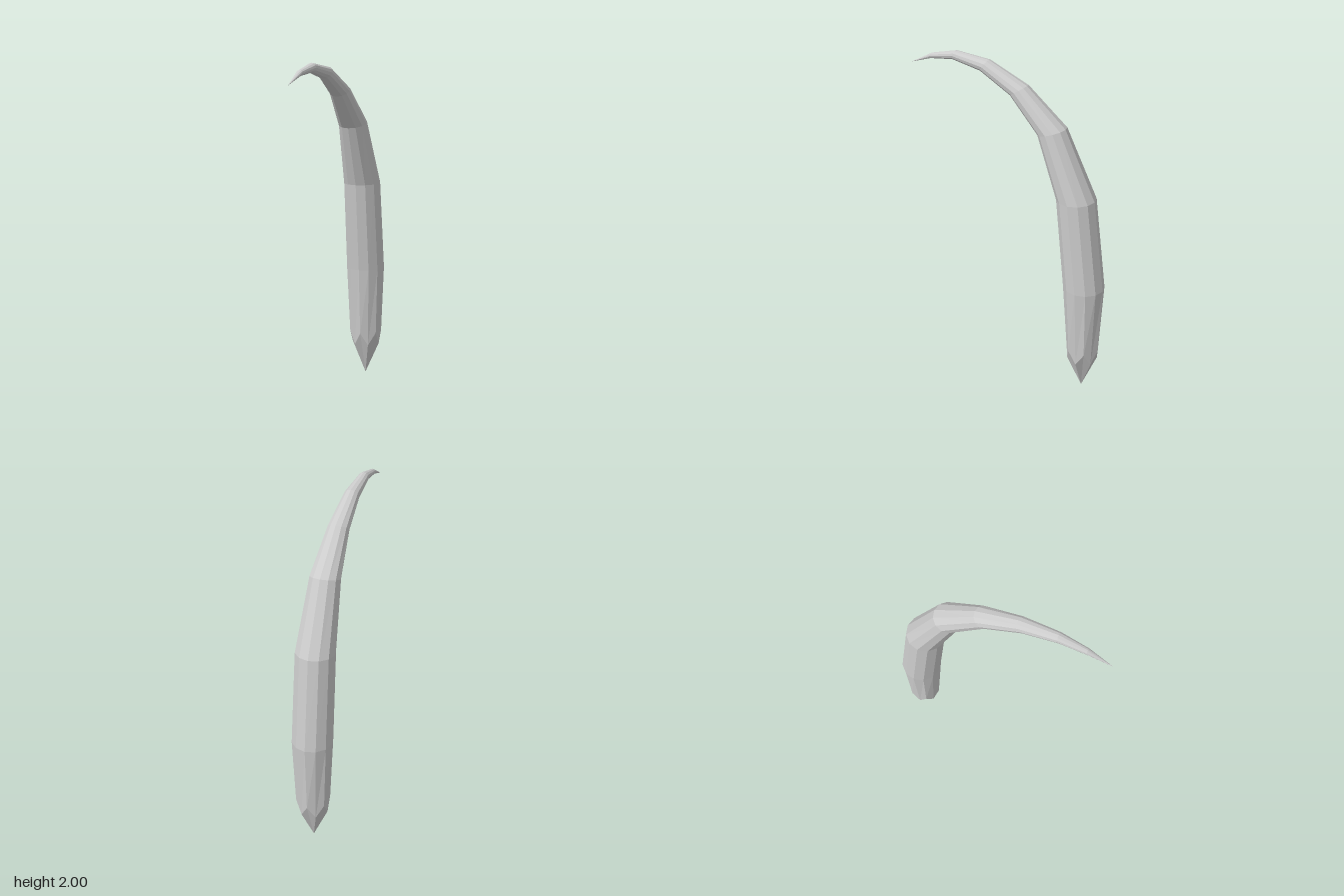
import * as THREE from 'three';

const SIDES = 12;

// Joins successive rings of points with outward-facing quads.
function loft(rings) {
  const positions = [];
  const tri = (a, b, c) => {
    for (const p of [a, b, c]) positions.push(p.x, p.y, p.z);
  };
  for (let i = 0; i < rings.length - 1; i++) {
    for (let j = 0; j < SIDES; j++) {
      const k = (j + 1) % SIDES;
      const [a, b, c, d] = [rings[i][j], rings[i][k], rings[i + 1][k], rings[i + 1][j]];
      if (!a.equals(b)) tri(a, b, c);
      if (!c.equals(d)) tri(a, c, d);
    }
  }
  const geometry = new THREE.BufferGeometry();
  geometry.setAttribute('position', new THREE.Float32BufferAttribute(positions, 3));
  geometry.computeVertexNormals();
  return geometry;
}

function makeRing(pointAt) {
  return Array.from({ length: SIDES }, (_, j) => pointAt((j / SIDES) * Math.PI * 2, j));
}

export function createModel() {
  const group = new THREE.Group();
  group.name = 'curvedClaw';
  const material = new THREE.MeshStandardMaterial({ color: 0xcccccc, flatShading: true });

  // Root: a faceted point whose upper rim zigzags
  const root = makeRing(() => new THREE.Vector3(0, 0, -0.53));
  const rim = makeRing((a, j) => {
    const r = j % 2 ? 0.102 : 0.09;
    return new THREE.Vector3(r * Math.cos(a), j % 2 ? 0.28 : 0.2, -0.53 - r * Math.sin(a));
  });

  // Curved body: [inner z, inner y, outer z, outer y, half width]
  const sections = [
    [-0.4, 0.7, -0.645, 0.7, 0.12],
    [-0.34, 1.25, -0.57, 1.26, 0.115],
    [-0.21, 1.61, -0.375, 1.66, 0.088],
    [-0.03, 1.805, -0.13, 1.87, 0.062],
    [0.165, 1.91, 0.115, 1.98, 0.044],
    [0.35, 1.945, 0.335, 2.0, 0.03],
    [0.507, 1.925, 0.497, 1.96, 0.018],
  ];
  const body = sections.map(([zi, yi, zo, yo, w]) => makeRing((a) => {
    const t = (1 + Math.sin(a)) / 2;
    return new THREE.Vector3(w * Math.cos(a), yi + (yo - yi) * t, zi + (zo - zi) * t);
  }));
  const tip = makeRing(() => new THREE.Vector3(0, 1.88, 0.645));

  const addPart = (name, rings) => {
    const mesh = new THREE.Mesh(loft(rings), material);
    mesh.name = name;
    group.add(mesh);
  };
  addPart('pointedRoot', [root, rim, body[0]]);
  addPart('curvedBody', body);
  addPart('tip', [body[body.length - 1], tip]);
  return group;
}
